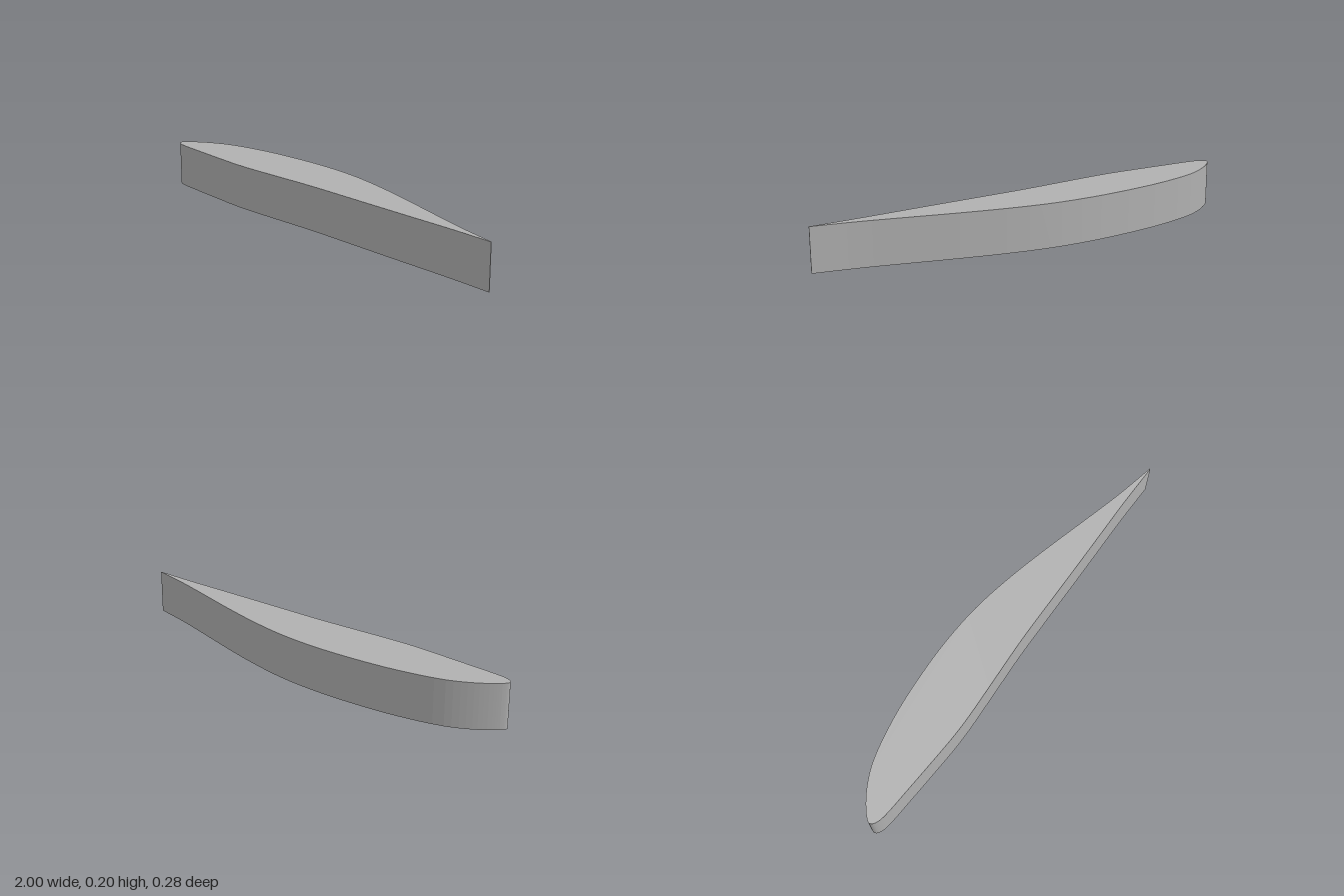
import * as THREE from 'three';

// Plan outline as [x, z], from the tail over the back to the nose, then along the front
const back = [
  [1, 0.086], [0.8, 0.046], [0.6, -0.004], [0.4, -0.055], [0.2, -0.1], [0, -0.132],
  [-0.2, -0.141], [-0.4, -0.131], [-0.6, -0.106], [-0.8, -0.056], [-0.9, -0.005],
  [-0.96, 0.04], [-0.99, 0.07], [-1, 0.088],
];
const front = [
  [-0.994, 0.102], [-0.97, 0.115], [-0.93, 0.122], [-0.8, 0.129], [-0.6, 0.138], [-0.5, 0.141],
  [-0.4, 0.139], [-0.2, 0.126], [0, 0.113], [0.2, 0.107], [0.4, 0.102], [0.6, 0.096],
  [0.8, 0.09], [1, 0.089],
];
const height = 0.2;

export function createModel() {
  const group = new THREE.Group();
  group.name = 'airfoilSection';

  const grey = new THREE.MeshStandardMaterial({ color: 0xb0b0b0 });
  grey.name = 'grey';

  // Smooth outline with a round nose and a thin blunt tail
  const curve = new THREE.CatmullRomCurve3(
    [...back, ...front].map(([x, z]) => new THREE.Vector3(x, -z, 0)), false, 'centripetal');
  const outline = curve.getPoints(108).map((p) => new THREE.Vector2(p.x, p.y));

  // Upright extrusion of the outline
  const geometry = new THREE.ExtrudeGeometry(new THREE.Shape(outline), {
    depth: height, bevelEnabled: false, steps: 1,
  });
  geometry.rotateX(-Math.PI / 2);

  const wing = new THREE.Mesh(geometry, grey);
  wing.name = 'wingSection';
  group.add(wing);
  return group;
}
